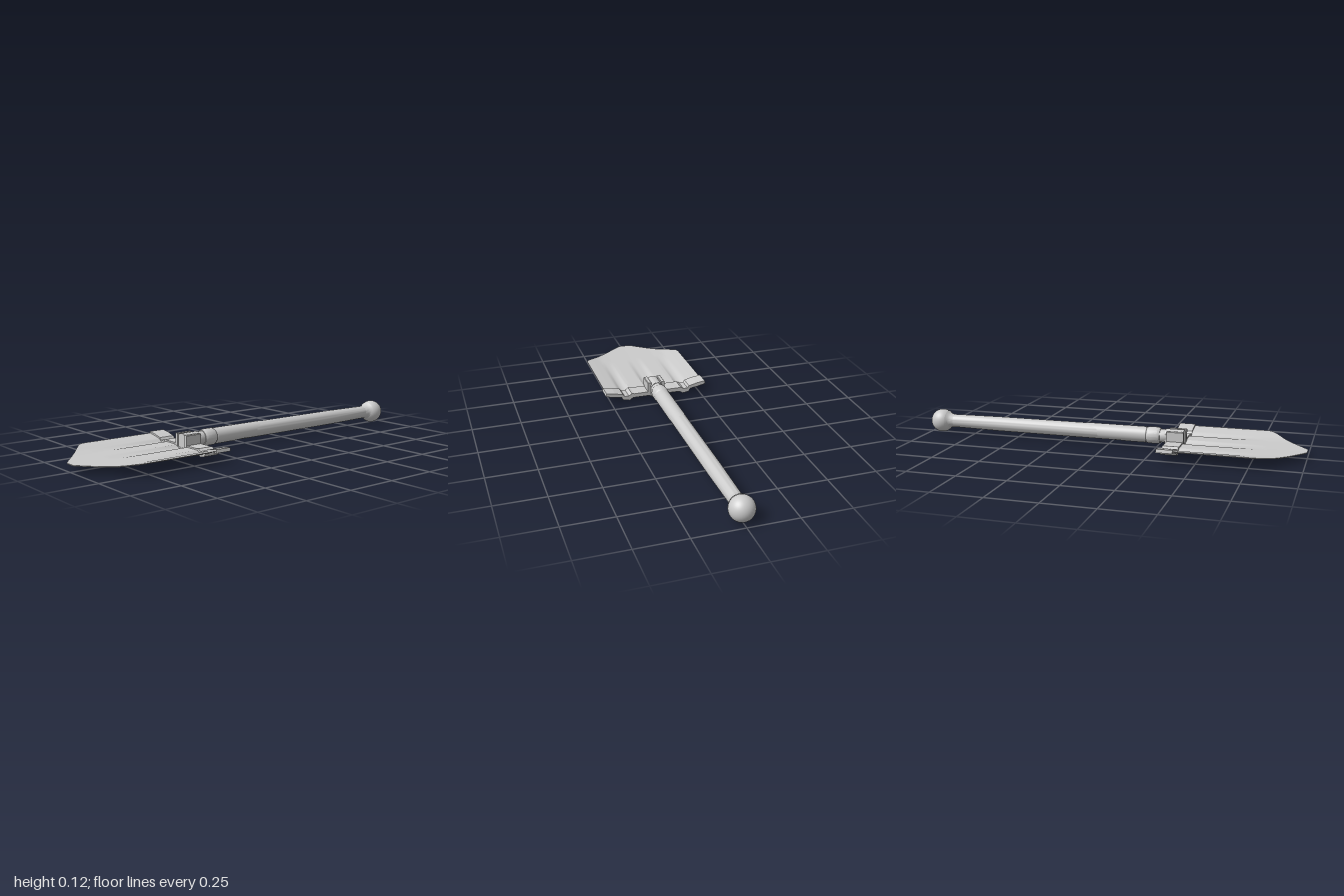
import * as THREE from 'three';
import { toCreasedNormals, mergeVertices } from 'three/addons/utils/BufferGeometryUtils.js';

const AXIS_Y = 0.063; // height of the handle axis
const grey = new THREE.MeshStandardMaterial({ color: 0xcccccc });
const greyThin = new THREE.MeshStandardMaterial({ color: 0xcccccc, side: THREE.DoubleSide });

// Piecewise linear lookup through [key, value] pairs
function lookup(points, t) {
  for (let i = 1; i < points.length; i++) {
    const [a, va] = points[i - 1], [b, vb] = points[i];
    if (t <= b) return va + (vb - va) * Math.max(0, (t - a) / (b - a));
  }
  return points[points.length - 1][1];
}

// Round part turned about the handle axis, from [radius, z] pairs
function turned(profile, sides = 32, crease = 0.5) {
  const geo = new THREE.LatheGeometry(profile.map(([r, z]) => new THREE.Vector2(r, z)), sides);
  geo.rotateX(Math.PI / 2).translate(0, AXIS_Y, 0);
  return toCreasedNormals(geo, crease);
}

// Closed outline in x, y pushed along z
function extruded(points, z0, z1) {
  const shape = new THREE.Shape(points.map(([x, y]) => new THREE.Vector2(x, y)));
  const geo = new THREE.ExtrudeGeometry(shape, { depth: z1 - z0, bevelEnabled: false });
  return geo.translate(0, 0, z0);
}

// Half widths of the blade outline along z
const OUTLINE = [[0.33, 0.275], [0.78, 0.275], [0.795, 0.272], [0.815, 0.258], [0.9, 0.155],
  [0.985, 0.05], [0.995, 0.038], [1, 0.028]];
// Height across the blade, and the depth of the pressed grooves
const SECTION = [[0, 0.036], [0.13, 0.037], [0.19, 0.041], [0.235, 0.05], [0.28, 0.058]];
const GROOVES = [[0, 0.017], [0.022, 0.017], [0.042, 0], [0.13, 0], [0.15, 0.016],
  [0.175, 0.015], [0.192, 0]];

function bladeGeometry() {
  const geo = new THREE.BoxGeometry(2, 1, 1, 64, 1, 60);
  const p = geo.attributes.position;
  for (let i = 0; i < p.count; i++) {
    const z = 0.33 + 0.67 * (p.getZ(i) + 0.5);
    const x = p.getX(i) * lookup(OUTLINE, z);
    const fade = THREE.MathUtils.clamp((0.8 - z) / 0.45, 0, 1);
    const y = lookup(SECTION, Math.abs(x)) - lookup(GROOVES, Math.abs(x)) * fade;
    p.setXYZ(i, x, y + p.getY(i) * 0.004, z);
  }
  geo.deleteAttribute('uv');
  geo.deleteAttribute('normal');
  return toCreasedNormals(mergeVertices(geo), 0.45);
}

// Metal socket round the handle: a tongue on top, open seam underneath
function socketGeometry() {
  const END = [[0, -0.12], [0.35, -0.115], [0.7, -0.09], [1.1, -0.055], [2.1, -0.05],
    [2.6, 0.06], [Math.PI, 0.18]];
  const geo = new THREE.CylinderGeometry(1, 1, 1, 48, 1, true);
  const p = geo.attributes.position;
  for (let i = 0; i < p.count; i++) {
    const a = Math.atan2(p.getX(i), p.getZ(i));
    const z = p.getY(i) > 0 ? 0.2 : lookup(END, Math.abs(a));
    p.setXYZ(i, 0.0405 * Math.sin(a), AXIS_Y + 0.0405 * Math.cos(a), z);
  }
  // Turning the tube onto z mirrors it, so flip the faces
  const ix = geo.index;
  for (let i = 0; i < ix.count; i += 3) {
    const b = ix.getX(i + 1);
    ix.setX(i + 1, ix.getX(i + 2));
    ix.setX(i + 2, b);
  }
  geo.computeVertexNormals();
  return geo;
}

export function createModel() {
  const model = new THREE.Group();
  model.name = 'foldingShovel';
  const add = (name, geo, material = grey) => {
    const mesh = new THREE.Mesh(geo, material);
    mesh.name = name;
    model.add(mesh);
    return mesh;
  };

  // Handle with its ball end
  add('handle', turned([[0, -0.93], [0.034, -0.93], [0.034, -0.88], [0.038, -0.6],
    [0.039, -0.1], [0.039, 0.195], [0.034, 0.205], [0, 0.205]]));
  const knob = add('knob', new THREE.SphereGeometry(0.061, 32, 24));
  knob.position.set(0, 0.061, -0.939);
  add('knobCollar', turned([[0.052, -0.906], [0.043, -0.896], [0.037, -0.885], [0.034, -0.865]]), greyThin);
  add('socket', socketGeometry(), greyThin);

  // Locking nut and neck
  add('lockingNut', turned([[0, 0.203], [0.038, 0.203], [0.043, 0.212], [0.043, 0.26],
    [0.038, 0.273], [0, 0.273]], 16));
  add('neck', turned([[0, 0.265], [0.034, 0.265], [0.034, 0.3], [0.03, 0.32], [0, 0.32]], 16));

  // Hinge tongue between two lugs
  add('hingeTongue', extruded([[-0.03, 0.028], [0.03, 0.028], [0.032, 0.08], [0.022, 0.093],
    [0.008, 0.099], [-0.008, 0.099], [-0.022, 0.093], [-0.032, 0.08]], 0.3, 0.393));
  for (const s of [-1, 1]) {
    const lug = [[0.028, 0.03], [0.047, 0.04], [0.047, 0.094], [0.044, 0.097], [0.028, 0.097]];
    const points = lug.map(([x, y]) => [s * x, y]);
    add(s > 0 ? 'leftHingeLug' : 'rightHingeLug', extruded(points, 0.313, 0.398));
  }

  // Cross bar with grooves matching the blade
  const top = [[0.02, 0.03], [0.032, 0.034], [0.045, 0.046], [0.125, 0.046], [0.138, 0.048],
    [0.155, 0.037], [0.178, 0.038], [0.187, 0.049], [0.23, 0.06], [0.278, 0.067]];
  const bottom = [[0.282, 0.05], [0.235, 0.039], [0.195, 0.033], [0.184, 0.016], [0.152, 0.011],
    [0.13, 0.024], [0.04, 0.024], [0.022, 0.012]];
  const half = [...top, ...bottom];
  const mirrored = half.map(([x, y]) => [-x, y]).reverse();
  add('crossBar', extruded([...half, ...mirrored], 0.313, 0.395));

  // Pressed steel blade
  add('blade', bladeGeometry(), greyThin);
  return model;
}
